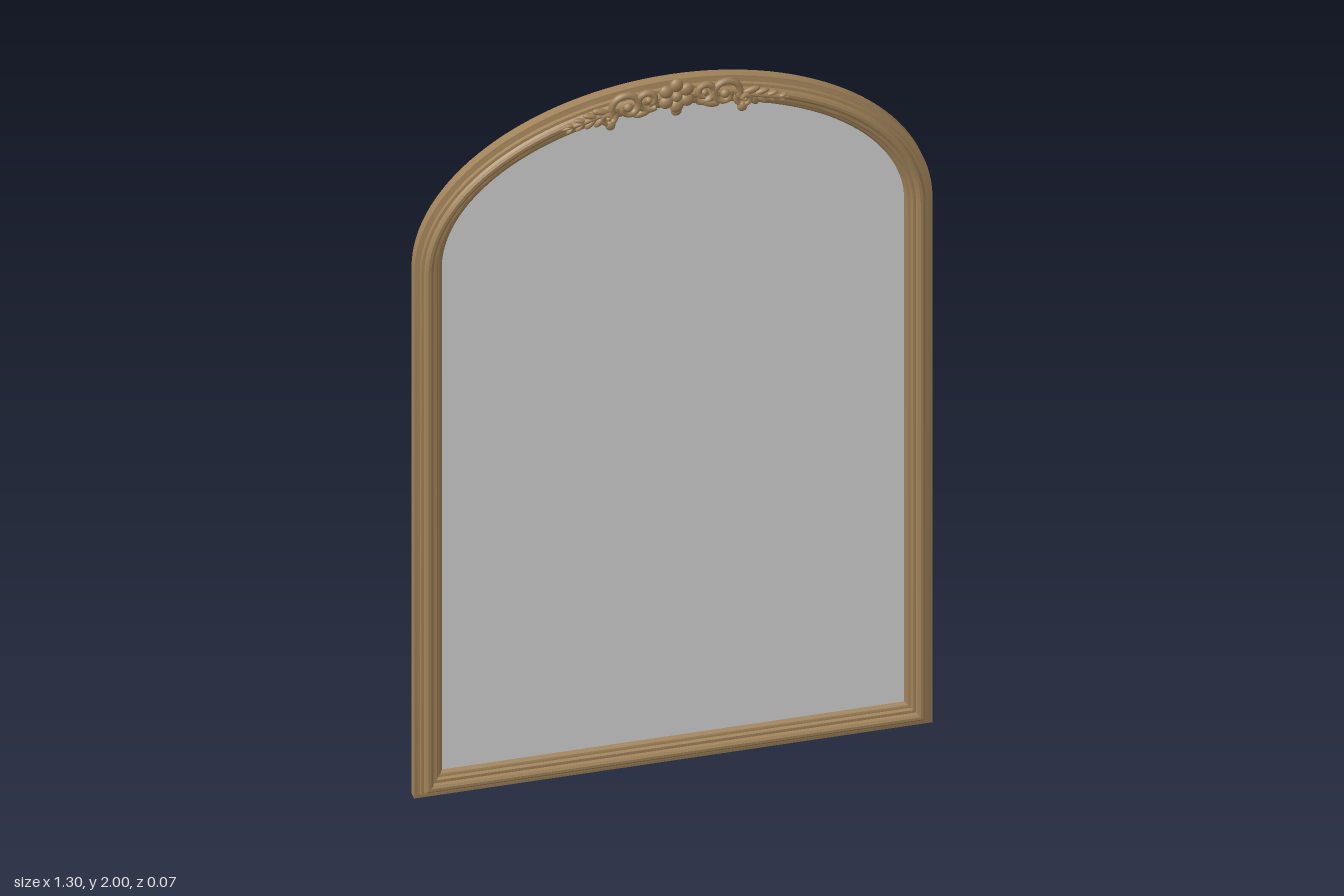
import * as THREE from 'three';
import { toCreasedNormals } from 'three/addons/utils/BufferGeometryUtils.js';

const HALF_WIDTH = 0.652, SPRING = 1.53, RISE = 0.45;

// Arched outline, moved inward by d; runs counterclockwise from the bottom left
function outline(d, steps = 64) {
  const w = HALF_WIDTH - d, h = RISE - 1.1 * d;
  const pts = [new THREE.Vector2(-w, d), new THREE.Vector2(w, d)];
  for (let i = 0; i <= steps; i++) {
    const a = Math.PI * i / steps;
    pts.push(new THREE.Vector2(w * Math.cos(a), SPRING + h * Math.sin(a)));
  }
  return pts;
}

// Moulding cross-section [inset, z] swept round the outline with mitred corners
function frameGeometry() {
  const profile = [
    [0, -0.035], [0, -0.009], [0.008, -0.007], [0.013, -0.005], [0.014, 0.004],
    [0.021, 0.005], [0.024, 0.012], [0.029, 0.016], [0.036, 0.016], [0.042, 0.012],
    [0.045, 0.005], [0.053, 0.005], [0.057, -0.001], [0.064, -0.004], [0.07, -0.012],
    [0.07, -0.035],
  ];
  const rings = profile.map(([d]) => outline(d));
  const m = profile.length, n = rings[0].length;
  const pos = [], idx = [];
  for (let i = 0; i < n; i++) {
    for (let j = 0; j < m; j++) pos.push(rings[j][i].x, rings[j][i].y, profile[j][1]);
  }
  for (let i = 0; i < n; i++) {
    for (let j = 0; j < m; j++) {
      const i2 = (i + 1) % n, j2 = (j + 1) % m;
      const a = i * m + j, b = i2 * m + j, c = i2 * m + j2, e = i * m + j2;
      idx.push(a, b, c, a, c, e);
    }
  }
  const g = new THREE.BufferGeometry();
  g.setAttribute('position', new THREE.Float32BufferAttribute(pos, 3));
  g.setIndex(idx);
  return toCreasedNormals(g, 0.45);
}

export function createModel() {
  const gilt = new THREE.MeshStandardMaterial({ color: 0xa08259 });
  gilt.name = 'antique gold';
  const silver = new THREE.MeshStandardMaterial({ color: 0xd4d4d4 });
  silver.name = 'mirror silver';
  const dark = new THREE.MeshStandardMaterial({ color: 0x6e6e6e });
  dark.name = 'backing grey';

  const model = new THREE.Group();
  model.name = 'archedMirror';
  const add = (parent, name, geometry, material = gilt) => {
    const mesh = new THREE.Mesh(geometry, material);
    mesh.name = name;
    parent.add(mesh);
    return mesh;
  };

  add(model, 'frame', frameGeometry());

  // Mirror pane with a dark backing board
  const pane = (z) => new THREE.ExtrudeGeometry(new THREE.Shape(outline(0.069)),
    { depth: 0.005, bevelEnabled: false }).translate(0, 0, z);
  add(model, 'mirrorGlass', pane(-0.018), silver);
  add(model, 'backingBoard', pane(-0.023), dark);

  const crest = new THREE.Group();
  crest.name = 'crest';
  model.add(crest);

  // Flattened bead or leaf lying on the frame
  const ball = new THREE.SphereGeometry(1, 14, 10);
  const bead = (parent, name, x, y, z, rx, ry, rz, turn = 0) => {
    const b = add(parent, name, ball);
    b.position.set(x, y, z);
    b.scale.set(rx, ry, rz);
    b.rotation.z = turn;
  };

  // Central flower: raised hub and a ring of petals
  const cy = 1.952;
  bead(crest, 'flowerHub', 0, cy, 0.024, 0.014, 0.014, 0.011);
  for (let i = 0; i < 6; i++) {
    const a = Math.PI / 2 + i * Math.PI / 3;
    bead(crest, 'flowerPetal', 0.03 * Math.cos(a), cy + 0.03 * Math.sin(a), 0.02,
      0.018, 0.017, 0.012, a);
  }
  bead(crest, 'flowerDrop', 0, 1.908, 0.018, 0.014, 0.014, 0.009);

  // Height of the moulding's centre line at x
  const archY = (x) => SPRING + (RISE - 0.038) * Math.sqrt(1 - (x / (HALF_WIDTH - 0.035)) ** 2);

  for (const s of [1, -1]) {
    const side = new THREE.Group();
    side.name = s > 0 ? 'leftScrollwork' : 'rightScrollwork';
    crest.add(side);

    // Spiral tube round (x, y), ending in a small bead
    const scroll = (x, y, r, start, sweep, tube) => {
      const pts = [];
      for (let i = 0; i <= 24; i++) {
        const t = i / 24, a = start + sweep * t, q = r * (1 - 0.72 * t);
        pts.push(new THREE.Vector3(s * (x + q * Math.cos(a)), y + q * Math.sin(a), 0.015 + 0.008 * t));
      }
      add(side, 'scroll', new THREE.TubeGeometry(new THREE.CatmullRomCurve3(pts), 40, tube, 7));
      bead(side, 'scrollEye', s * x, y, 0.021, r * 0.3, r * 0.3, 0.01);
    };
    scroll(0.07, 1.952, 0.032, -2.2, 7, 0.009);
    scroll(0.122, 1.939, 0.041, -0.4, 7, 0.009);
    scroll(0.172, 1.916, 0.023, 2.6, 6.5, 0.007);
    bead(side, 'leafDrop', s * 0.166, 1.893, 0.018, 0.013, 0.014, 0.009);
    bead(side, 'leafDrop', s * 0.085, 1.915, 0.017, 0.025, 0.01, 0.009, -s * 0.3);

    // Tapering leaf spray along the arch
    bead(side, 'leafStem', s * 0.225, archY(0.225), 0.016, 0.068, 0.007, 0.008, -s * 0.27);
    for (let i = 0; i < 4; i++) {
      const x = 0.19 + i * 0.026, k = 1 - i * 0.16;
      for (const up of [1, -1]) {
        bead(side, 'leaf', s * x, archY(x) + up * 0.013 * k, 0.017,
          0.022 * k, 0.009 * k, 0.008, s * (up * 0.5 - 0.27));
      }
    }
  }
  return model;
}
